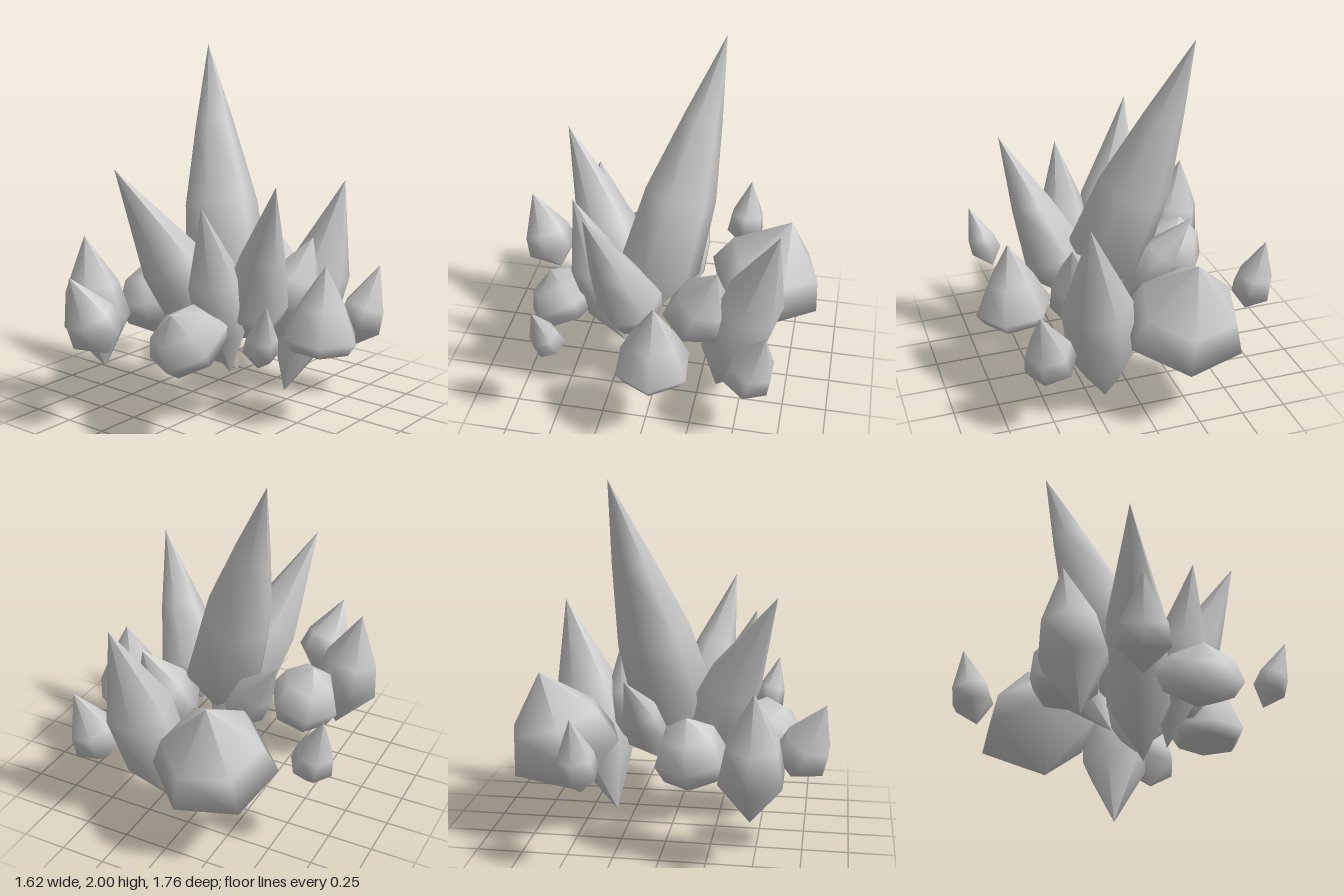
import * as THREE from 'three';

const material = new THREE.MeshStandardMaterial({ color: 0xcccccc });
const UP = new THREE.Vector3(0, 1, 0);

// Profiles: [fraction along the axis from the root, fraction of the radius]
const spire = [[0, 0], [0.2, 0.97], [0.46, 0.85], [0.73, 0.45], [1, 0]];
const shard = [[0, 0], [0.23, 0.98], [0.56, 0.87], [1, 0]];
const column = [[0, 0], [0.28, 0.95], [0.58, 0.98], [1, 0]];
const cone = [[0, 0], [0.12, 0.8], [0.25, 1], [0.58, 0.62], [1, 0]];
const bud = [[0, 0], [0.36, 1], [0.62, 0.8], [1, 0]];
const drop = [[0, 0], [0.26, 0.97], [0.5, 0.85], [1, 0]];
const stub = [[0, 0], [0.2, 0.8], [0.45, 1], [0.78, 0.72], [1, 0]];

// Six-sided crystal from root to tip, turned about its own axis
function crystal(name, profile, root, tip, radius, turn = 0.52) {
  const start = new THREE.Vector3(...root);
  const axis = new THREE.Vector3(...tip).sub(start);
  const length = axis.length();
  const points = profile.map(([t, r]) => new THREE.Vector2(r * radius, t * length));
  const geometry = new THREE.LatheGeometry(points, 6);
  geometry.rotateY(turn);
  const mesh = new THREE.Mesh(geometry, material);
  mesh.name = name;
  mesh.position.copy(start);
  mesh.quaternion.setFromUnitVectors(UP, axis.normalize());
  return mesh;
}

export function createModel() {
  const group = new THREE.Group();
  group.name = 'crystalCluster';
  group.add(
    // Tall spires leaning out from the middle
    crystal('mainSpire', spire, [0.12, 0.4, 0.08], [-0.35, 2, -0.28], 0.24, 0.3),
    crystal('frontSpire', shard, [0.12, 0.23, 0.04], [-0.27, 1.4, 0.59], 0.195, 0.4),
    crystal('leftSpire', cone, [0.21, 0.44, 0.07], [0.56, 1.36, 0.3], 0.185, 0.2),
    crystal('backSpire', column, [0.16, 0, -0.35], [0.34, 1.23, -0.68], 0.193, 0.3),
    crystal('frontShard', column, [0.18, 0.27, 0.18], [0.2, 1.23, 0.45], 0.15),

    // Medium shards tucked against the spires
    crystal('backLeftShard', bud, [0.19, 0.35, -0.16], [0.34, 0.95, -0.36], 0.19, 0.35),
    crystal('backRightShard', bud, [-0.02, 0.4, -0.05], [-0.39, 0.95, -0.2], 0.13),

    // Wide buds around the rim
    crystal('backBud', bud, [-0.2, 0.25, -0.49], [-0.23, 0.94, -0.7], 0.34, 0.82),
    crystal('leftBud', cone, [0.59, 0.37, -0.06], [0.62, 0.89, -0.07], 0.217, 0.6),
    crystal('rightBud', stub, [-0.36, 0.38, 0.17], [-0.46, 0.79, 0.14], 0.205),
    crystal('frontRightBud', bud, [-0.48, 0.24, 0.48], [-0.6, 0.98, 0.5], 0.192),
    crystal('frontStub', stub, [0.2, 0.41, 0.45], [0.14, 0.69, 0.62], 0.228, 0.05),

    // Small outer buds
    crystal('frontBud', drop, [-0.25, 0.42, 0.68], [-0.35, 0.86, 0.86], 0.158),
    crystal('backLeftBud', drop, [0.5, 0.3, -0.53], [0.6, 0.77, -0.66], 0.147),
    crystal('backRightBud', drop, [-0.66, 0.43, -0.38], [-0.75, 0.85, -0.41], 0.122),
    crystal('frontLeftBud', drop, [0.59, 0.47, 0.48], [0.7, 0.83, 0.56], 0.092, 0.2),
  );
  return group;
}
